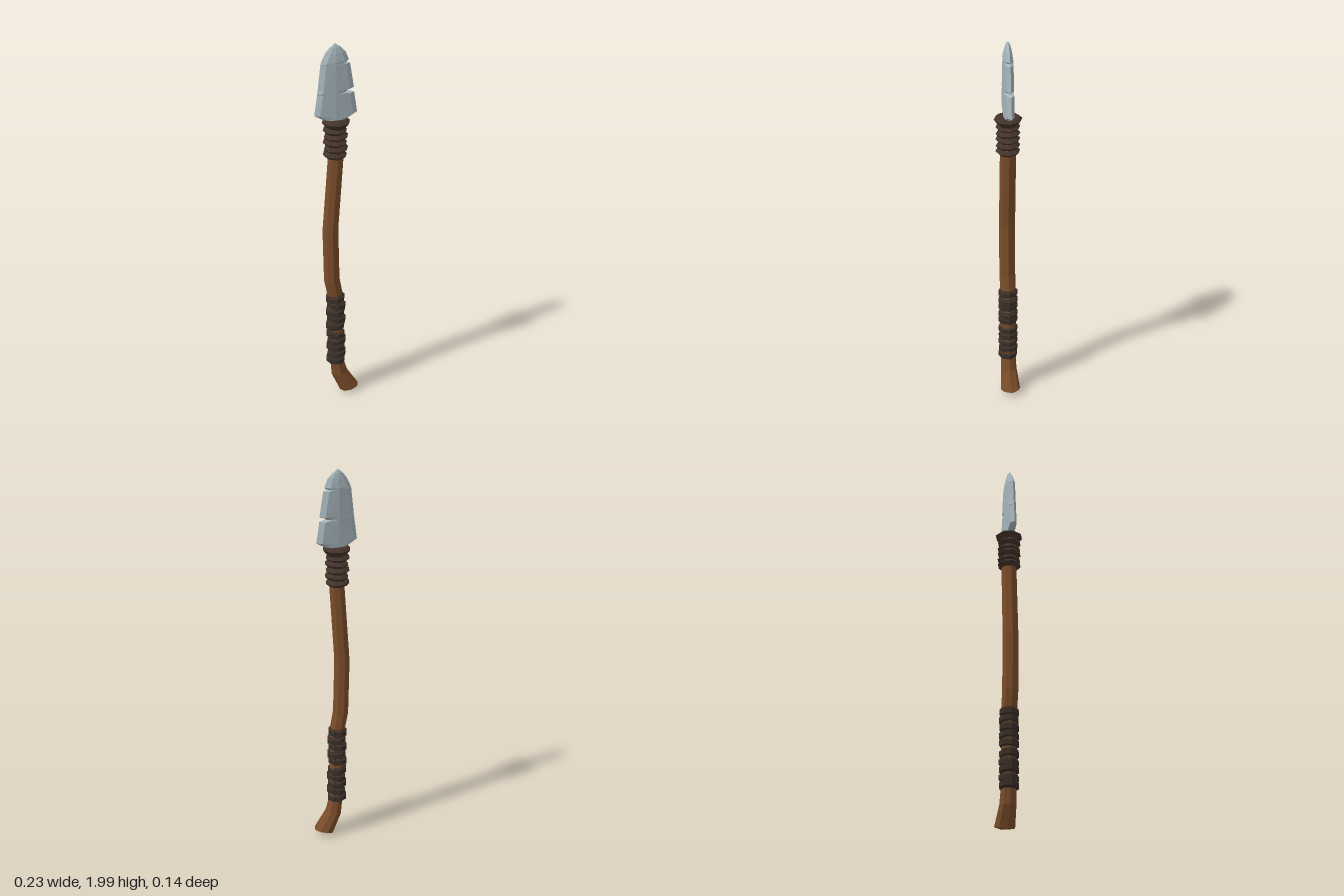
import * as THREE from 'three';

const SIDES = 8;

function part(name, geometry, color) {
  const material = new THREE.MeshStandardMaterial({ color, flatShading: true });
  const mesh = new THREE.Mesh(geometry, material);
  mesh.name = name;
  return mesh;
}

// Skins a stack of equal-length rings (bottom to top) and closes both ends to a centre point.
function loft(rings, bottomCentre, topCentre) {
  const n = rings[0].length;
  const points = rings.flat();
  const index = [];
  for (let i = 0; i < rings.length - 1; i++) {
    for (let j = 0; j < n; j++) {
      const a = i * n + j, b = i * n + (j + 1) % n;
      index.push(a, a + n, b, b, a + n, b + n);
    }
  }
  const last = (rings.length - 1) * n, low = points.length;
  points.push(bottomCentre, topCentre);
  for (let j = 0; j < n; j++) {
    const k = (j + 1) % n;
    index.push(low, j, k, low + 1, last + k, last + j);
  }
  const geometry = new THREE.BufferGeometry().setFromPoints(points);
  geometry.setIndex(index);
  geometry.computeVertexNormals();
  return geometry;
}

// Eight-sided ring; slope is the rise in y per unit of x, dish lifts the front and back.
function ring(x, y, rx, rz = rx, slope = 0, dish = 0) {
  return Array.from({ length: SIDES }, (_, j) => {
    const a = (j / SIDES) * Math.PI * 2;
    const c = Math.cos(a), s = Math.sin(a);
    return new THREE.Vector3(x + c * rx, y + c * rx * slope + Math.abs(s) * dish, s * rz);
  });
}

// Stack of wrapped cord turns; profile rows are [height fraction, radius].
function wrap(name, color, y0, y1, turns, profile, centreX, tilt) {
  const group = new THREE.Group();
  group.name = name;
  const step = (y1 - y0) / turns;
  for (let i = 0; i < turns; i++) {
    const y = y0 + i * step, x = centreX + (i % 2 ? 0.003 : -0.003);
    const slope = i % 2 ? tilt : -tilt * 0.6;
    const rings = profile.map(([f, r]) => ring(x, y + f * step, r, r, slope));
    group.add(part('cordTurn', loft(rings, new THREE.Vector3(x, y, 0),
      new THREE.Vector3(x, y + profile.at(-1)[0] * step, 0)), color));
  }
  return group;
}

// Bent wooden shaft with a splayed, slightly hollow foot
function createShaft() {
  const rings = [
    ring(0.066, 0.021, 0.05, 0.053, 0.28, 0.01),
    ring(0.01, 0.128, 0.043, 0.043, 0.18),
    ring(-0.004, 0.21, 0.036, 0.04),
    ring(-0.01, 0.6, 0.041),
    ring(-0.031, 0.71, 0.042),
    ring(-0.038, 1.0, 0.042),
    ring(-0.009, 1.41, 0.041),
    ring(-0.011, 1.6, 0.04),
  ];
  return part('shaft', loft(rings, new THREE.Vector3(0.055, 0.055, 0),
    new THREE.Vector3(-0.011, 1.6, 0)), 0x7b4d2a);
}

// Chipped blade: bevelled edges around a shallow central ridge
function createBlade() {
  // [left x, right x, edge y, centre y, half thickness, bevel width]
  const sections = [
    [-0.07, 0.05, 1.61, 1.6, 0.021, 0.02],
    [-0.118, 0.1, 1.638, 1.625, 0.021, 0.025],
    [-0.103, 0.084, 1.745, 1.745, 0.022, 0.025],
    [-0.102, 0.046, 1.752, 1.752, 0.022, 0.02],
    [-0.101, 0.056, 1.76, 1.76, 0.022, 0.02],
    [-0.1, 0.083, 1.768, 1.768, 0.022, 0.025],
    [-0.086, 0.063, 1.895, 1.895, 0.022, 0.025],
    [-0.084, 0.044, 1.903, 1.903, 0.022, 0.02],
    [-0.082, 0.057, 1.912, 1.912, 0.022, 0.025],
    [-0.06, 0.04, 1.955, 1.955, 0.016, 0.022],
    [-0.04, 0.016, 1.98, 1.98, 0.01, 0.012],
  ];
  const rings = sections.map(([l, r, ye, yc, t, b]) => {
    const v = (x, y, z) => new THREE.Vector3(x, y, z);
    const front = [v(r - b, ye, t * 0.85), v(-0.012, yc, t * 1.1), v(l + b, ye, t * 0.85)];
    const back = front.map(p => v(p.x, p.y, -p.z)).reverse();
    return [v(r, ye, 0), ...front, v(l, ye, 0), ...back];
  });
  return part('blade', loft(rings, new THREE.Vector3(-0.012, 1.6, 0),
    new THREE.Vector3(-0.013, 2, 0)), 0xa6b5bc);
}

export function createModel() {
  const spear = new THREE.Group();
  spear.name = 'spear';
  spear.add(createShaft(), createBlade());

  // Two runs of flat cord around the grip
  const flat = [[0, 0.042], [0.15, 0.051], [0.75, 0.051], [0.9, 0.042], [1, 0.042]];
  spear.add(wrap('lowerGrip', 0x3b2f28, 0.2, 0.4, 5, flat, -0.008, 0.12));
  spear.add(wrap('upperGrip', 0x3b2f28, 0.415, 0.62, 5, flat, -0.01, -0.12));

  // Sharp-ridged binding below the blade, finished with a flared collar
  const ridge = [[0, 0.046], [0.5, 0.062], [1, 0.046]];
  spear.add(wrap('binding', 0x45332b, 1.408, 1.57, 5, ridge, -0.011, 0.06));
  const collar = [ring(-0.008, 1.565, 0.046), ring(-0.008, 1.598, 0.072), ring(-0.008, 1.61, 0.058)];
  spear.add(part('collar', loft(collar, new THREE.Vector3(-0.008, 1.565, 0),
    new THREE.Vector3(-0.008, 1.612, 0)), 0x45332b));
  return spear;
}
